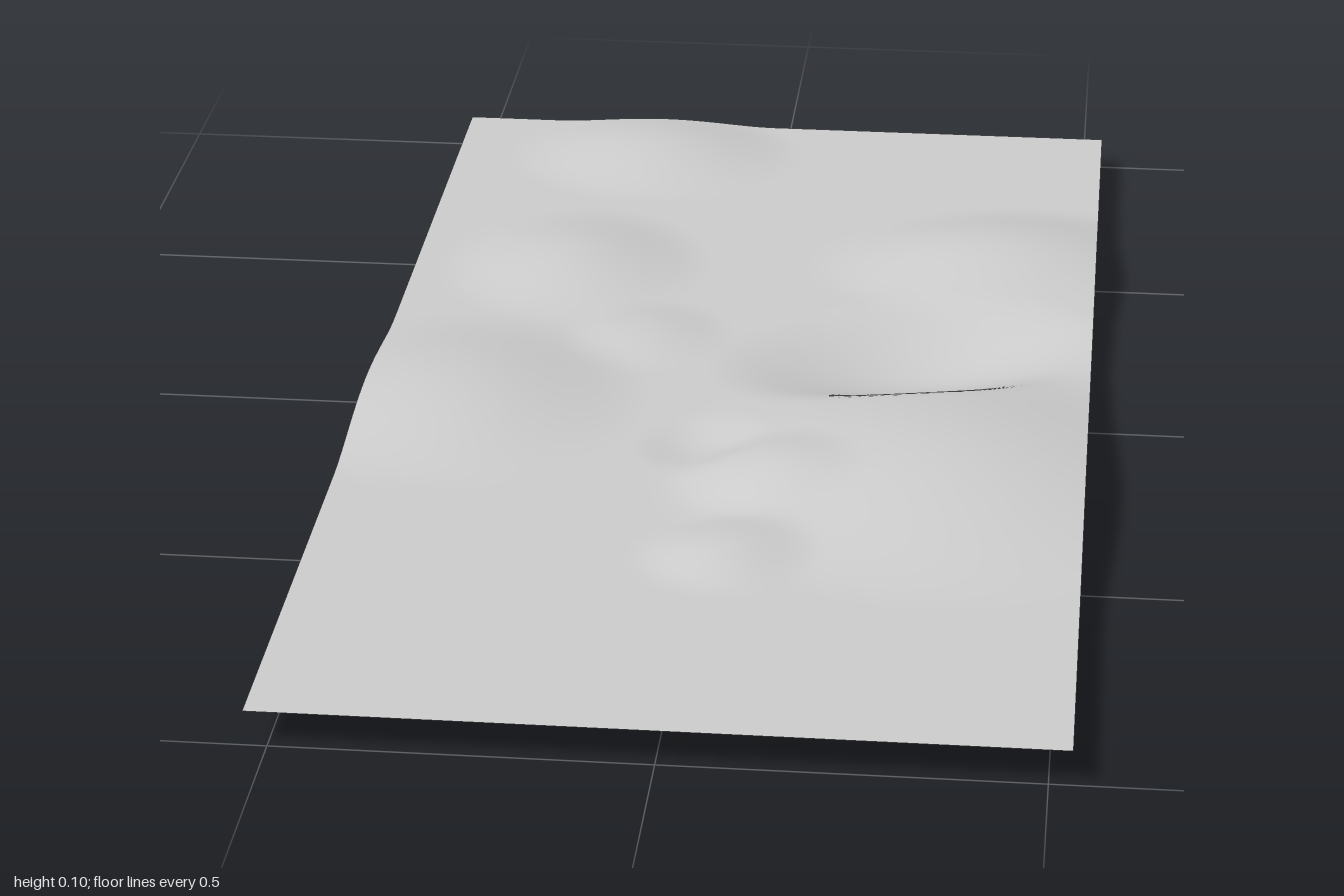
import * as THREE from 'three';

const BASE = 0.05; // level of the flat ground

// Each mound or hollow: centre x, z, radii, height, turn about y
const FEATURES = [
  { x: 0.33, z: 0.25, rx: 0.42, rz: 0.40, h: 0.05 },            // broad hill
  { x: 0.38, z: -0.49, rx: 0.30, rz: 0.21, h: 0.035, turn: 0.2 }, // far right hill
  { x: -0.20, z: -0.87, rx: 0.24, rz: 0.20, h: 0.028 },         // back hill
  { x: -0.28, z: -0.42, rx: 0.21, rz: 0.22, h: 0.026 },         // left middle hill
  { x: -0.40, z: 0.07, rx: 0.29, rz: 0.30, h: 0.035 },          // left hill
  { x: -0.14, z: -0.17, rx: 0.13, rz: 0.13, h: 0.012 },         // small mounds
  { x: 0.08, z: 0.30, rx: 0.14, rz: 0.13, h: 0.016 },
  { x: 0.045, z: 0.52, rx: 0.13, rz: 0.12, h: 0.02 },
  { x: 0.27, z: -0.14, rx: 0.32, rz: 0.20, h: -0.05, turn: 0.3 }, // valley
  { x: -0.02, z: 0.19, rx: 0.10, rz: 0.10, h: -0.01 },          // small hollow
];

// Smooth falloff summed over all features
function groundHeight(x, z) {
  let y = BASE;
  for (const f of FEATURES) {
    const c = Math.cos(f.turn || 0), s = Math.sin(f.turn || 0);
    const dx = x - f.x, dz = z - f.z;
    const u = (dx * c - dz * s) / f.rx;
    const v = (dx * s + dz * c) / f.rz;
    const r2 = u * u + v * v;
    if (r2 < 1) y += f.h * (1 - r2) ** 2;
  }
  return y;
}

export function createModel() {
  const group = new THREE.Group();
  group.name = 'terrain';

  const material = new THREE.MeshStandardMaterial({ color: 0xcccccc, side: THREE.DoubleSide });
  material.name = 'pale grey';

  // Thin rectangular sheet, raised and lowered by the height rule
  const geometry = new THREE.PlaneGeometry(1.06, 2, 80, 150).rotateX(-Math.PI / 2);
  const pos = geometry.attributes.position;
  for (let i = 0; i < pos.count; i++) {
    pos.setY(i, groundHeight(pos.getX(i), pos.getZ(i)));
  }
  geometry.computeVertexNormals();

  const ground = new THREE.Mesh(geometry, material);
  ground.name = 'ground';
  group.add(ground);
  return group;
}
